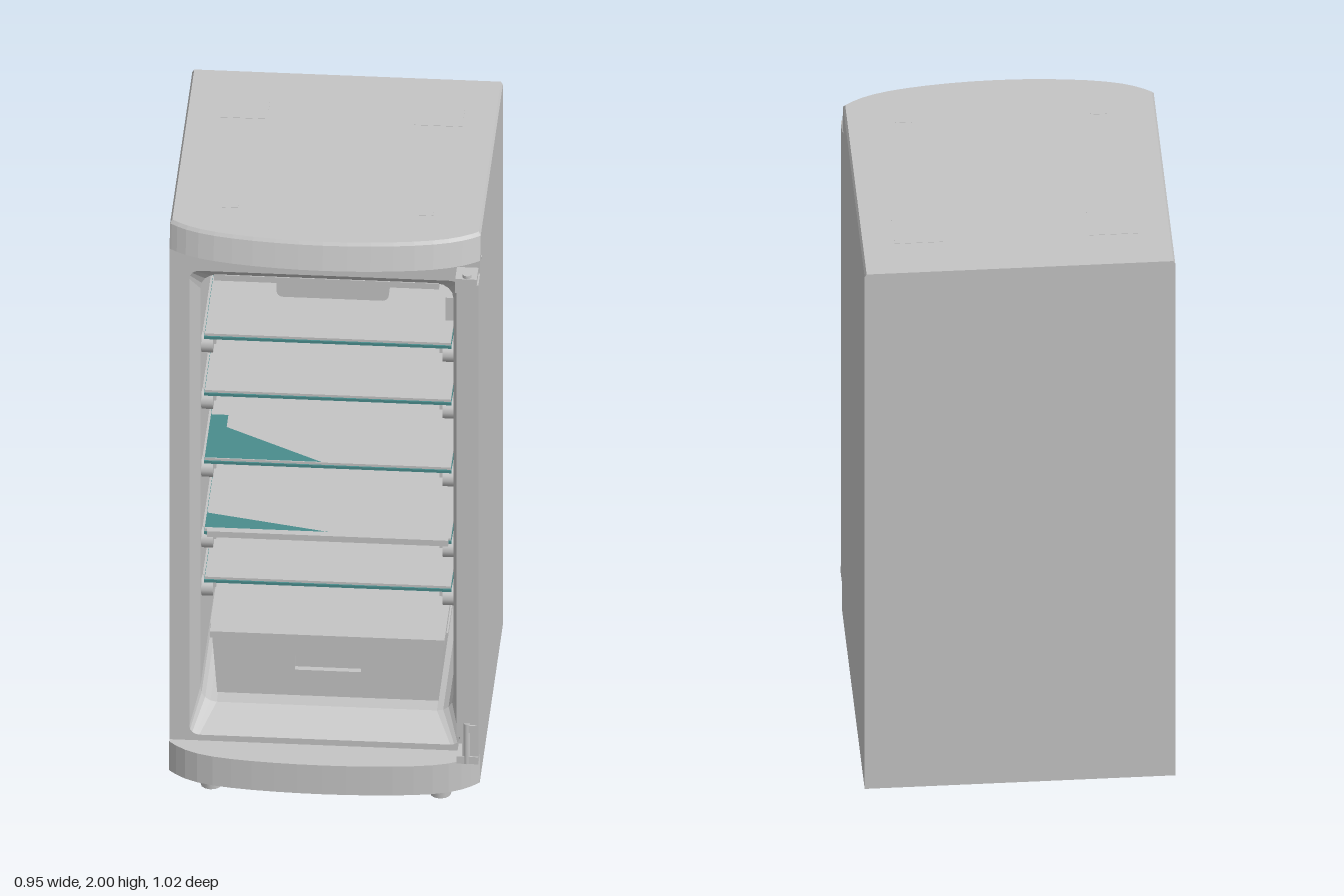
import * as THREE from 'three';

const grey = new THREE.MeshStandardMaterial({ color: 0xc4c4c4 });
grey.name = 'cabinet grey';
const teal = new THREE.MeshStandardMaterial({ color: 0x4a8c8c });
teal.name = 'glass teal';

export function createModel() {
  const group = new THREE.Group();

  function add(name, geometry, x = 0, y = 0, z = 0, material = grey) {
    const mesh = new THREE.Mesh(geometry, material);
    mesh.name = name;
    mesh.position.set(x, y, z);
    group.add(mesh);
    return mesh;
  }

  // box given by its lower and upper limits
  function box(name, x0, x1, y0, y1, z0, z1, material) {
    return add(name, new THREE.BoxGeometry(x1 - x0, y1 - y0, z1 - z0),
      (x0 + x1) / 2, (y0 + y1) / 2, (z0 + z1) / 2, material);
  }

  // band of faces between two matching closed loops, optionally capped
  function band(a, b, capped = false) {
    const out = [];
    const n = a.length;
    const tri = (...pts) => pts.forEach((p) => out.push(p.x, p.y, p.z));
    const centre = (l) => new THREE.Vector3(0, l[0].y, 0);
    for (let i = 0; i < n; i++) {
      const j = (i + 1) % n;
      tri(a[i], a[j], b[j]);
      tri(a[i], b[j], b[i]);
      if (capped) {
        tri(centre(b), b[i], b[j]);
        tri(centre(a), a[j], a[i]);
      }
    }
    const geometry = new THREE.BufferGeometry();
    geometry.setAttribute('position', new THREE.Float32BufferAttribute(out, 3));
    geometry.computeVertexNormals();
    return geometry;
  }

  // plan outline at one height with a bowed front
  function bowedOutline(y, halfWidth, front, bow, corner) {
    const pts = [new THREE.Vector3(-halfWidth, y, -0.51)];
    const steps = 20;
    for (let i = 0; i <= steps; i++) {
      const t = Math.sin((i / steps - 0.5) * Math.PI);
      pts.push(new THREE.Vector3(t * halfWidth, y, front - bow * t * t - corner * t ** 8));
    }
    pts.push(new THREE.Vector3(halfWidth, y, -0.51));
    return pts;
  }

  function roundedRect(x, y0, y1, r) {
    const pts = [];
    const corners = [[x - r, y0 + r, -90], [x - r, y1 - r, 0], [-x + r, y1 - r, 90], [-x + r, y0 + r, 180]];
    for (const [cx, cy, start] of corners) {
      for (let i = 0; i <= 4; i++) {
        const a = THREE.MathUtils.degToRad(start + i * 22.5);
        pts.push(new THREE.Vector2(cx + r * Math.cos(a), cy + r * Math.sin(a)));
      }
    }
    return pts;
  }

  const polygon = (pairs) => pairs.map(([x, y]) => new THREE.Vector2(x, y));

  function extrude(name, outline, hole, z0, z1) {
    const shape = new THREE.Shape(outline);
    if (hole) shape.holes.push(new THREE.Path(hole));
    return add(name, new THREE.ExtrudeGeometry(shape, { depth: z1 - z0, bevelEnabled: false }), 0, 0, z0);
  }

  // cabinet shell with a funnel-shaped mouth
  const outer = polygon([[-0.47, 0.18], [0.47, 0.18], [0.47, 1.915], [-0.47, 1.915]]);
  const mouth = roundedRect(0.41, 0.2, 1.84, 0.03);
  const cavity = roundedRect(0.383, 0.27, 1.78, 0.05);
  extrude('cabinetWalls', outer, cavity, -0.4, 0.31);
  extrude('frontFrame', outer, mouth, 0.31, 0.39);
  box('backPanel', -0.47, 0.47, 0.18, 1.915, -0.51, -0.4);
  const atZ = (pts, z) => pts.map((p) => new THREE.Vector3(p.x, p.y, z));
  add('mouthBevel', band(atZ(mouth, 0.39), atZ(cavity, 0.31)));

  // top cap and plinth
  add('topCap', band(bowedOutline(1.915, 0.47, 0.485, 0.06, 0.035),
    bowedOutline(1.99, 0.47, 0.462, 0.06, 0.035), true));
  add('topCapLid', band(bowedOutline(1.99, 0.47, 0.462, 0.06, 0.035),
    bowedOutline(2, 0.464, 0.455, 0.06, 0.035), true));
  const lens = add('capFingerGrip', new THREE.CylinderGeometry(1, 0.8, 0.02, 24), 0, 1.907, 0.39);
  lens.scale.set(0.19, 1, 0.06);
  add('plinth', band(bowedOutline(0.08, 0.47, 0.51, 0.045, 0.06),
    bowedOutline(0.18, 0.47, 0.507, 0.045, 0.06), true));

  // hinge side strip and hinges
  box('hingeStrip', 0.42, 0.47, 0.2, 1.87, 0.38, 0.46);
  box('stripLip', 0.4, 0.42, 0.24, 1.82, 0.38, 0.41);
  box('upperHinge', 0.4, 0.465, 1.84, 1.89, 0.38, 0.46);
  box('lowerHinge', 0.405, 0.47, 0.18, 0.205, 0.38, 0.465);
  add('upperHingePin', new THREE.CylinderGeometry(0.014, 0.014, 0.06, 10), 0.435, 1.87, 0.445);
  add('lowerHingePin', new THREE.CylinderGeometry(0.012, 0.012, 0.14, 10), 0.435, 0.25, 0.455);
  box('hingeStop', 0.43, 0.465, 0.29, 0.315, 0.44, 0.465);

  // shelves with glass panes and side brackets
  for (const y of [1.54, 1.34, 1.1, 0.85, 0.68]) {
    box('shelfTop', -0.372, 0.372, y - 0.002, y + 0.006, -0.4, 0.27);
    box('shelfPane', -0.374, 0.374, y - 0.011, y - 0.002, -0.4, 0.275, teal);
    if (y === 0.85) box('shelfFrontTrim', -0.365, 0.365, y - 0.014, y + 0.006, 0.265, 0.285);
    for (const side of [-1, 1]) {
      const x = side * 0.36;
      box('shelfRail', x - 0.022, x + 0.022, y - 0.03, y - 0.012, -0.4, 0.27);
      const bracket = add('shelfBracket', new THREE.CylinderGeometry(0.032, 0.032, 0.035, 12),
        side * 0.365, y - 0.035, 0.25);
      bracket.rotation.z = Math.PI / 2;
    }
  }

  // bare glass showing at the front corner of two shelves, as (x, -z) outlines
  const bareGlass = [
    [1.1, [[-0.372, -0.27], [-0.02, -0.27], [-0.32, -0.09], [-0.32, -0.02], [-0.372, -0.02]]],
    [0.85, [[-0.372, -0.264], [0, -0.264], [-0.372, -0.18]]],
  ];
  for (const [y, outline] of bareGlass) {
    const patch = add('bareGlass', new THREE.ShapeGeometry(new THREE.Shape(polygon(outline))), 0, y + 0.008, 0, teal);
    patch.rotation.x = -Math.PI / 2;
  }

  // cooling unit under the ceiling
  extrude('coolingUnit', roundedRect(0.17, 1.57, 1.78, 0.02), null, -0.4, 0.08);
  box('ceilingTrim', -0.34, 0.34, 1.765, 1.785, 0.22, 0.32);
  box('lightSwitch', 0.355, 0.385, 1.62, 1.7, 0.2, 0.26);

  // bottom drawer with a recessed grip and a lid
  const drawer = polygon([[-0.335, 0.28], [0.335, 0.28], [0.35, 0.475], [-0.35, 0.475]]);
  const grip = polygon([[-0.1, 0.37], [0.1, 0.37], [0.1, 0.42], [-0.1, 0.42]]);
  extrude('drawerBody', drawer, null, -0.38, 0.25);
  extrude('drawerFront', drawer, grip, 0.25, 0.27);
  box('drawerLid', -0.355, 0.355, 0.49, 0.512, -0.4, 0.3);
  box('drawerRunner', -0.36, 0.36, 0.475, 0.49, -0.38, 0.22);

  // feet
  for (const x of [-0.347, 0.347]) {
    for (const z of [-0.312, 0.345]) {
      add('foot', new THREE.CylinderGeometry(0.038, 0.032, 0.085, 12), x, 0.0425, z);
    }
  }

  // shallow pads and marks on the top, small plugs on the sides
  for (const side of [-1, 1]) {
    box('topPad', side * 0.295 - 0.073, side * 0.295 + 0.073, 1.998, 2.001, -0.36, -0.24);
    box('topMark', side * 0.295 - 0.025, side * 0.295 + 0.025, 1.998, 2.001, 0.257, 0.28);
    add('sidePlug', new THREE.SphereGeometry(0.007, 8, 6), side * 0.466, 1.905, 0.35);
  }

  return group;
}
